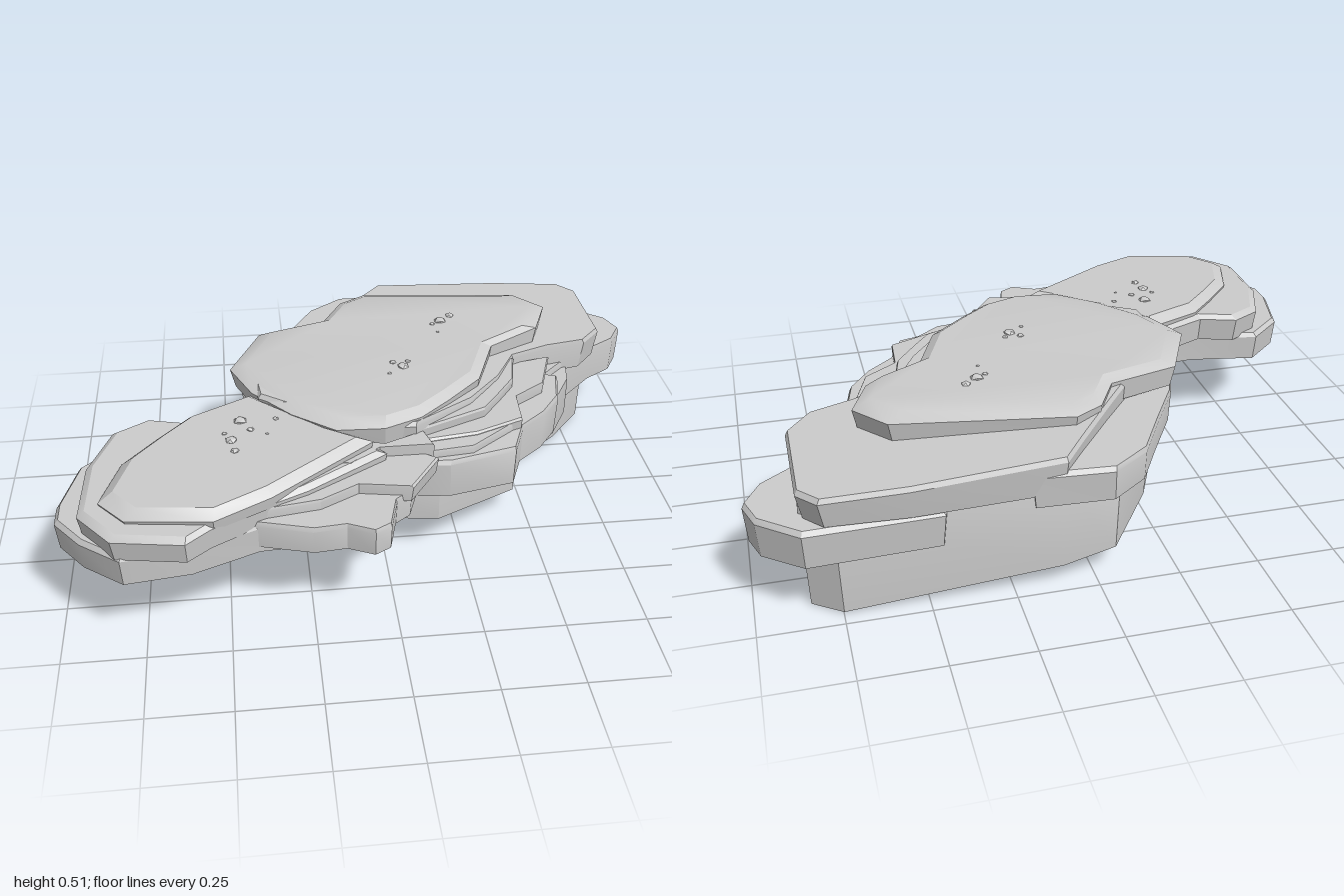
import * as THREE from 'three';
import { toCreasedNormals } from 'three/addons/utils/BufferGeometryUtils.js';

const grey = new THREE.MeshStandardMaterial({ color: 0xcccccc });
const height = ([a, b, c], x, z) => a + b * x + c * z;

// Stone slab from an [x, z] outline between two tilted planes [a, b, c]: y = a + bx + cz.
// The foot is scaled by footScale; the upper rim is chamfered by bevel and topScale.
function slab(name, outline, bottom, top, { footScale = 0.97, topScale = 0.97, bevel = 0.015 } = {}) {
  const pts = outline.map(([x, z]) => new THREE.Vector2(x, z));
  if (THREE.ShapeUtils.area(pts) < 0) pts.reverse();
  const centre = pts.reduce((s, p) => s.add(p), new THREE.Vector2()).divideScalar(pts.length);
  const ring = (scale, plane, drop) => pts.map((p) => {
    const q = p.clone().sub(centre).multiplyScalar(scale).add(centre);
    return [q.x, height(plane, q.x, q.y) - drop, q.y];
  });
  const rings = [ring(footScale, bottom, 0), ring(1, top, bevel), ring(topScale, top, 0)];
  const pos = [];
  const tri = (...corners) => corners.forEach((c) => pos.push(...c));
  for (let r = 0; r < 2; r++) {
    const lo = rings[r], hi = rings[r + 1];
    for (let i = 0; i < pts.length; i++) {
      const j = (i + 1) % pts.length;
      tri(lo[i], hi[j], lo[j]);
      tri(lo[i], hi[i], hi[j]);
    }
  }
  for (const [a, b, c] of THREE.ShapeUtils.triangulateShape(pts, [])) {
    tri(rings[2][a], rings[2][c], rings[2][b]);
    tri(rings[0][a], rings[0][b], rings[0][c]);
  }
  const geo = new THREE.BufferGeometry();
  geo.setAttribute('position', new THREE.Float32BufferAttribute(pos, 3));
  const mesh = new THREE.Mesh(toCreasedNormals(geo, 0.45), grey);
  mesh.name = name;
  return mesh;
}

export function createModel() {
  const group = new THREE.Group();
  group.name = 'layeredRock';
  const add = (...args) => group.add(slab(...args));

  // Deep body under the large stack, with a sloping underside
  add('lowerBody', [[-0.41, 0.02], [-0.36, -0.2], [-0.23, -0.48], [-0.07, -0.7], [0.1, -0.73], [0.76, -0.71],
    [0.85, -0.64], [0.84, -0.44], [0.7, -0.24], [0.5, -0.03], [0.46, 0.16], [0.17, 0.36], [-0.1, 0.36], [-0.33, 0.2]],
  [0.12, -0.1, 0.069], [0.36, -0.02, 0], { footScale: 0.98, topScale: 0.99 });

  // Middle ledge that juts out at the right and front
  add('rightLedge', [[0.45, -0.74], [0.85, -0.74], [0.97, -0.64], [1, -0.55], [0.95, -0.46], [0.85, -0.39], [0.72, -0.25],
    [0.7, -0.15], [0.62, 0], [0.6, -0.1], [0.4, -0.1], [0.35, -0.4]],
  [0.21, -0.03, 0], [0.34, -0.02, 0.02]);
  add('frontLedge', [[0.66, -0.14], [0.63, 0.0], [0.56, 0.1], [0.47, 0.18], [0.42, 0.31], [0.2, 0.37], [0.02, 0.36],
    [-0.15, 0.32], [0.1, 0.05], [0.45, -0.2]],
  [0.23, -0.03, 0], [0.36, -0.01, 0]);

  // Ledge along the back left
  add('backLedge', [[0.2, -0.74], [-0.04, -0.75], [-0.16, -0.66], [-0.25, -0.5], [-0.35, -0.33], [-0.43, -0.1],
    [-0.2, 0], [0.2, -0.4]],
  [0.28, 0, 0], [0.4, 0.02, 0.01]);

  // Main upper slab
  add('mainSlab', [[0.1, -0.745], [0.55, -0.76], [0.8, -0.745], [0.855, -0.68], [0.855, -0.35], [0.78, -0.26], [0.64, -0.22],
    [0.5, -0.15], [0.42, 0], [0.3, 0.15], [0.1, 0.3], [-0.1, 0.3], [-0.38, 0.1], [-0.4, -0.1], [-0.1, -0.48], [0.03, -0.65]],
  [0.32, -0.01, 0], [0.46, -0.045, 0.02], { topScale: 0.985 });

  // Thin broken layers at the front of the main slab
  const thinLayers = [
    [[[0.3, -0.1], [0.52, -0.17], [0.64, -0.2], [0.58, -0.02], [0.47, 0.06], [0.46, 0.2], [0.3, 0.27], [0.1, 0.3]], 0.35, 0.395],
    [[[0.3, -0.05], [0.5, -0.14], [0.47, 0.0], [0.4, 0.1], [0.34, 0.18], [0.12, 0.28], [0.1, 0.1]], 0.39, 0.43],
    [[[0.16, 0.19], [0.44, 0.13], [0.43, 0.21], [0.28, 0.33], [0.12, 0.35], [-0.04, 0.35]], 0.34, 0.385],
    [[[-0.2, 0.28], [0.0, 0.34], [0.13, 0.28], [0.15, 0.36], [-0.02, 0.36], [-0.12, 0.44], [-0.28, 0.4]], 0.36, 0.42],
  ];
  thinLayers.forEach(([outline, low, high], i) =>
    add(`thinLayer${i + 1}`, outline, [low, 0, 0], [high, 0, 0], { bevel: 0.008 }));

  // Crown plate
  add('crownPlate', [[0.03, -0.585], [0.57, -0.51], [0.66, -0.4], [0.6, -0.25], [0.42, -0.14], [0.34, 0.07], [0.22, 0.19],
    [0.12, 0.28], [0.0, 0.33], [-0.15, 0.32], [-0.28, 0.21], [-0.4, 0.06], [-0.465, -0.1], [-0.36, -0.33], [-0.13, -0.4],
    [-0.06, -0.53]],
  [0.4, 0, 0], [0.49, 0.015, -0.01], { topScale: 0.9, bevel: 0.02 });

  // Side stack: wide base, middle slab, top plate
  add('sideBase', [[-1, 0.42], [-0.95, 0.22], [-0.83, 0.11], [-0.6, 0.14], [-0.3, 0.1], [-0.05, 0.3], [0, 0.46], [-0.2, 0.6],
    [-0.4, 0.61], [-0.6, 0.69], [-0.8, 0.71], [-0.92, 0.61], [-1, 0.5]],
  [0.25, 0.025, 0], [0.35, 0.025, 0], { footScale: 0.98 });
  add('sideFrontLedge', [[-0.45, 0.6], [-0.25, 0.66], [-0.15, 0.65], [-0.07, 0.69], [-0.02, 0.66], [0.01, 0.54], [0.06, 0.5],
    [0.1, 0.38], [0, 0.3], [-0.4, 0.4]],
  [0.26, 0, 0], [0.35, 0, 0]);
  add('sideFrontUpperLedge', [[-0.4, 0.6], [-0.22, 0.57], [-0.1, 0.5], [0.06, 0.53], [0.16, 0.38], [0.05, 0.3], [-0.4, 0.35]],
    [0.33, 0, 0], [0.385, 0, 0], { bevel: 0.008 });
  add('sideMiddle', [[-0.92, 0.58], [-0.91, 0.34], [-0.84, 0.15], [-0.74, 0.09], [-0.62, 0.125], [-0.4, 0.02], [-0.1, 0.25],
    [0.0, 0.38], [-0.25, 0.54], [-0.4, 0.61], [-0.54, 0.69], [-0.61, 0.75], [-0.82, 0.71]],
  [0.33, 0.015, 0], [0.43, 0.02, -0.02], { topScale: 0.94 });
  add('sideTopPlate', [[-0.86, 0.55], [-0.8, 0.36], [-0.7, 0.24], [-0.6, 0.13], [-0.4, 0.03], [-0.15, 0.28], [-0.04, 0.36],
    [-0.2, 0.48], [-0.36, 0.6], [-0.53, 0.69], [-0.78, 0.65]],
  [0.39, 0.015, 0], [0.475, 0.035, -0.02], { topScale: 0.88, bevel: 0.025 });

  // Pebble clusters: [x, z, radius], resting on a given top plane
  const clusters = [
    [[0.445, -0.045, 0.02], [[0.69, -0.63, 0.014], [0.61, -0.53, 0.014], [0.68, -0.47, 0.02], [0.71, -0.43, 0.016],
      [0.67, -0.4, 0.012], [0.66, -0.56, 0.007], [0.72, -0.53, 0.006], [0.65, -0.44, 0.008]]],
    [[0.49, 0.015, -0.01], [[0.27, -0.31, 0.022], [0.31, -0.345, 0.016], [0.24, -0.29, 0.01], [0.25, -0.23, 0.006],
      [0.1, -0.01, 0.02], [0.07, -0.04, 0.012], [0.12, -0.04, 0.01], [0.05, 0.03, 0.008]]],
    [[0.475, 0.035, -0.02], [[-0.44, 0.215, 0.022], [-0.47, 0.32, 0.02], [-0.41, 0.27, 0.012], [-0.46, 0.38, 0.014],
      [-0.33, 0.22, 0.01], [-0.49, 0.28, 0.009], [-0.36, 0.3, 0.006]]],
  ];
  const pebbles = new THREE.Group();
  pebbles.name = 'pebbles';
  for (const [plane, stones] of clusters) {
    stones.forEach(([x, z, r], i) => {
      const pebble = new THREE.Mesh(new THREE.IcosahedronGeometry(r, 0), grey);
      pebble.name = 'pebble';
      pebble.position.set(x, height(plane, x, z), z);
      pebble.scale.y = 0.55;
      pebble.rotation.y = i * 1.3;
      pebbles.add(pebble);
    });
  }
  group.add(pebbles);
  return group;
}
